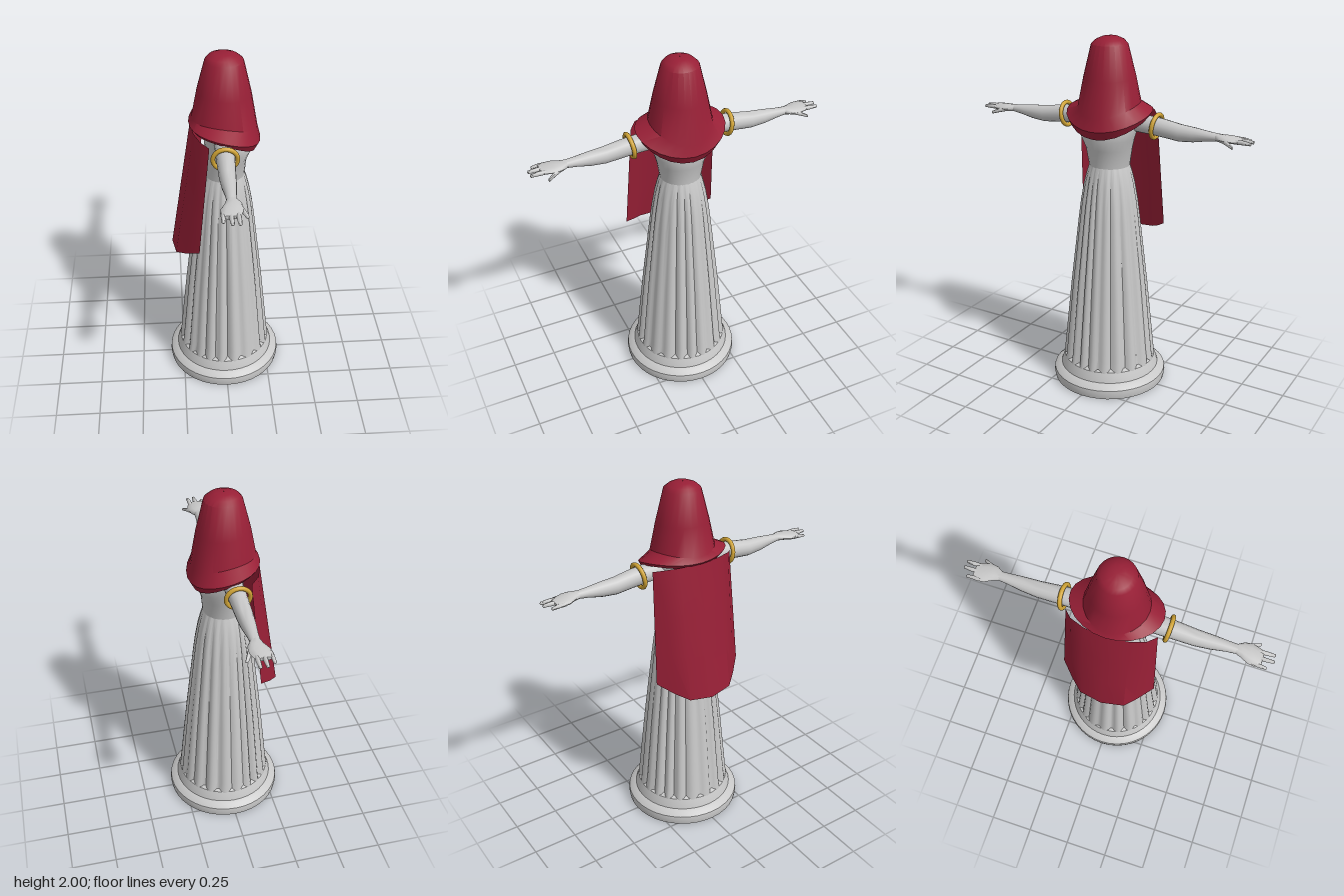
import * as THREE from 'three';
import { toCreasedNormals } from 'three/addons/utils/BufferGeometryUtils.js';

const marble = new THREE.MeshStandardMaterial({ color: 0xc8c8c8 });
marble.name = 'marble';
const cloth = new THREE.MeshStandardMaterial({ color: 0x981f36, side: THREE.DoubleSide });
cloth.name = 'red cloth';
const gold = new THREE.MeshStandardMaterial({ color: 0xd2a536 });
gold.name = 'gold';

// Skin a surface over rows of points; closed rows wrap around
function loft(rows, closed = true, crease = 0.6) {
  const n = rows[0].length, index = [];
  for (let r = 0; r < rows.length - 1; r++) {
    for (let i = 0; i < (closed ? n : n - 1); i++) {
      const a = r * n + i, b = r * n + (i + 1) % n;
      index.push(a, a + n, b, b, a + n, b + n);
    }
  }
  const g = new THREE.BufferGeometry();
  g.setAttribute('position', new THREE.Float32BufferAttribute(rows.flat(2), 3));
  g.setIndex(index);
  return toCreasedNormals(g, crease);
}

function around(n, fn) {
  return Array.from({ length: n }, (_, i) => fn((i / n) * Math.PI * 2));
}

function part(name, geometry, material, parent) {
  const m = new THREE.Mesh(geometry, material);
  m.name = name;
  parent.add(m);
  return m;
}

// Limb running out along z; rings are [z, centre x, centre y, half width, half height]
function limb(rings, side, n = 12) {
  return loft(rings.map(([z, cx, cy, rx, ry]) =>
    around(n, a => [cx + rx * Math.cos(a), cy - side * ry * Math.sin(a), side * z])), true, 0.9);
}

function finger(x0, z0, x1, z1, y1, r, side) {
  return limb([
    [z0, x0, 1.532, r, r],
    [(z0 + z1) / 2, (x0 + x1) / 2, (1.536 + y1) / 2, r, r],
    [z1 - 0.005, x1, y1, r * 0.75, r * 0.7],
    [z1, x1, y1, 0.0005, 0.0005],
  ], side, 8);
}

export function createModel() {
  const model = new THREE.Group();
  model.name = 'hoodedStatue';

  // Round plinth
  const base = [[0, 0], [0.323, 0], [0.328, 0.03], [0.325, 0.052], [0.305, 0.07], [0.284, 0.08],
    [0.276, 0.105], [0.264, 0.135], [0.235, 0.15], [0, 0.15]];
  part('plinth', toCreasedNormals(
    new THREE.LatheGeometry(base.map(p => new THREE.Vector2(...p)), 40), 0.7), marble, model);

  // Pleated skirt: [height, radius, pleat depth]
  const skirt = [[0.13, 0.268, 0.03], [0.2, 0.26, 0.028], [0.6, 0.219, 0.022], [1.0, 0.172, 0.016],
    [1.1, 0.159, 0.014], [1.2, 0.141, 0.01], [1.27, 0.123, 0.006], [1.31, 0.109, 0.002]];
  part('skirt', loft(skirt.map(([y, r, depth]) => around(126, a => {
    const fold = Math.abs(Math.sin((a * 21) / 2 + 0.5 * Math.sin(3 * a)));
    const rr = r - depth * (1 - fold) * (0.75 + 0.25 * Math.sin(5 * a));
    const hem = y < 0.15 ? 0.025 * (1 - fold) : 0;
    return [rr * Math.cos(a), y + hem, rr * Math.sin(a)];
  })), true, 0.7), marble, model);

  // Bodice: [height, centre x, half depth, half width]
  const bodice = [[1.298, 0, 0.1, 0.1], [1.3, 0, 0.112, 0.113], [1.4, 0.006, 0.115, 0.132],
    [1.46, 0.02, 0.125, 0.152], [1.52, 0.012, 0.118, 0.17], [1.58, -0.01, 0.1, 0.18],
    [1.63, -0.01, 0.06, 0.1], [1.66, -0.01, 0.001, 0.001]];
  part('bodice', loft(bodice.map(([y, cx, rx, rz]) =>
    around(28, a => [cx + rx * Math.cos(a), y, rz * Math.sin(a)])), true, 0.8), marble, model);

  // Hood with a flared mantle: [centre x, half depth, half width, y, y slope, y curve], hem to crown
  const hood = [[0, 0.168, 0.235, 1.59, -0.0575, -0.0575], [0.002, 0.19, 0.247, 1.61, -0.048, -0.04],
    [0.002, 0.174, 0.17, 1.65, -0.03, -0.035], [0, 0.142, 0.14, 1.79, -0.01, 0],
    [0, 0.1, 0.098, 1.96, 0, 0], [-0.004, 0.078, 0.075, 1.982, 0, 0],
    [-0.004, 0.045, 0.04, 1.997, 0, 0], [-0.004, 0.001, 0.001, 2.0, 0, 0]];
  part('hood', loft(hood.map(([cx, rx, rz, y, slope, curve]) => around(24, a => {
    const c = Math.cos(a);
    return [cx + rx * c, y + slope * c + curve * c * c, rz * Math.sin(a)];
  })), true, 0.65), cloth, model);

  // Back cape: half outlines at the shoulders and the hem, mirrored across z
  const shoulder = [[-0.18, 1.61, 0], [-0.165, 1.61, 0.12], [-0.135, 1.605, 0.2], [-0.09, 1.59, 0.242]];
  const hem = [[-0.295, 0.85, 0], [-0.275, 0.865, 0.13], [-0.22, 0.9, 0.195], [-0.15, 0.95, 0.266]];
  const mirrored = half => [...half.slice(1).reverse().map(([x, y, z]) => [x, y, -z]), ...half];
  const capeRows = [0, 0.33, 0.66, 1].map(t => mirrored(hem.map((p, i) =>
    p.map((v, k) => v + (shoulder[i][k] - v) * t))));
  part('cape', loft(capeRows, false, 0.5), cloth, model);

  // Outstretched arms, hands and armlets
  for (const side of [1, -1]) {
    const arm = new THREE.Group();
    arm.name = side > 0 ? 'leftSideArm' : 'rightSideArm';
    model.add(arm);
    part('arm', limb([[0.12, -0.01, 1.555, 0.05, 0.05], [0.24, -0.01, 1.55, 0.05, 0.049],
      [0.32, -0.01, 1.543, 0.047, 0.049], [0.42, -0.01, 1.53, 0.043, 0.046],
      [0.5, -0.008, 1.531, 0.038, 0.039], [0.58, -0.006, 1.535, 0.029, 0.026],
      [0.64, -0.005, 1.537, 0.025, 0.019]], side, 16), marble, arm);
    part('palm', limb([[0.625, -0.005, 1.537, 0.025, 0.02], [0.66, 0, 1.536, 0.042, 0.02],
      [0.7, -0.008, 1.534, 0.055, 0.019], [0.74, -0.015, 1.533, 0.052, 0.014],
      [0.765, -0.017, 1.533, 0.044, 0.01], [0.768, -0.017, 1.533, 0.001, 0.001]], side), marble, arm);
    for (const [x0, z0, x1, z1, y1, r] of [[-0.053, 0.72, -0.055, 0.8, 1.528, 0.011],
      [-0.017, 0.73, -0.014, 0.828, 1.534, 0.012], [0.018, 0.73, 0.021, 0.825, 1.532, 0.012]])
      part('finger', finger(x0, z0, x1, z1, y1, r, side), marble, arm);
    part('thumb', finger(0.025, 0.665, 0.063, 0.745, 1.512, 0.012, side), marble, arm);

    const armlet = part('armlet', new THREE.TorusGeometry(0.063, 0.012, 10, 28), gold, arm);
    armlet.position.set(-0.012, 1.547, side * 0.279);
    armlet.rotation.x = side * 0.14;
  }
  return model;
}
